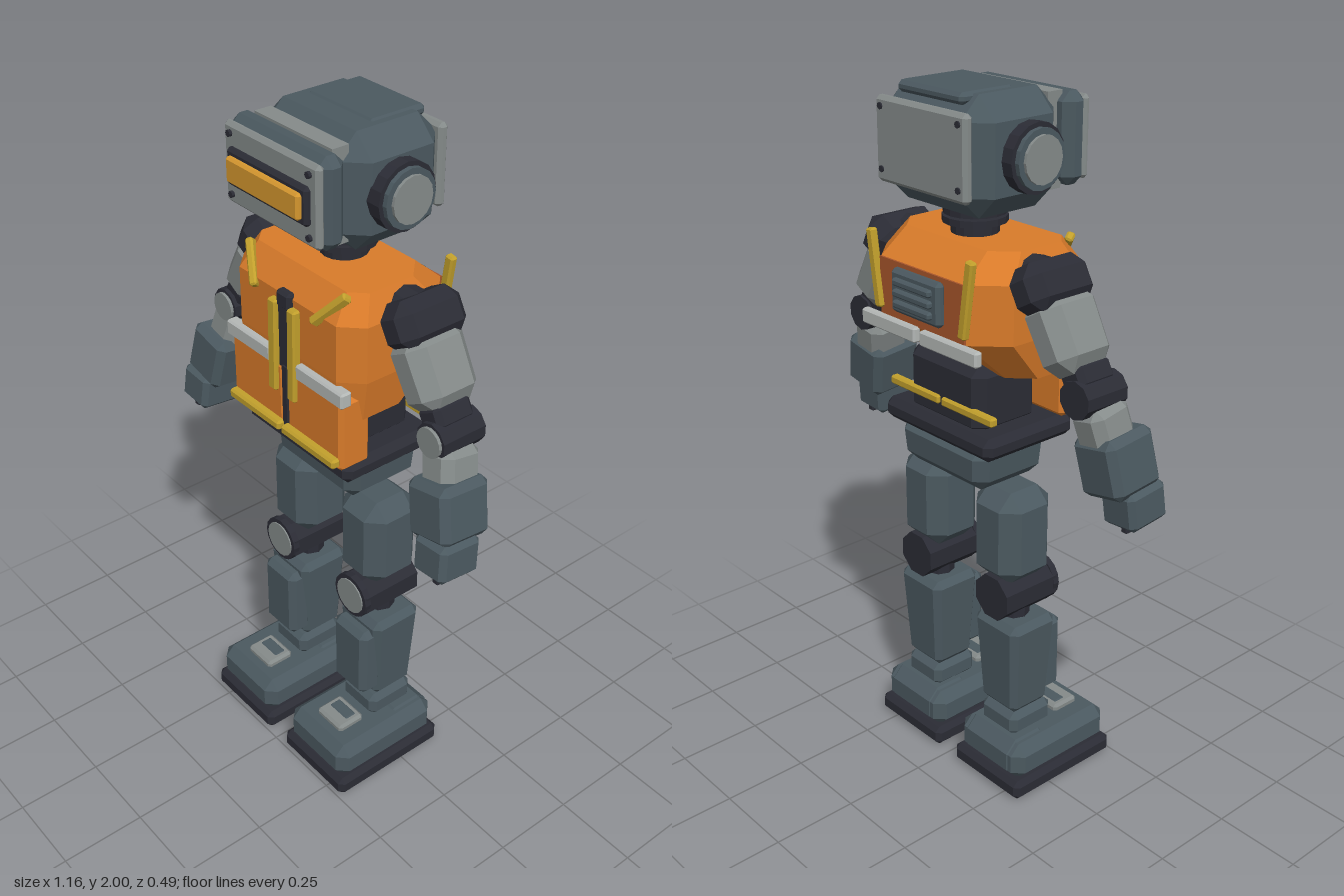
import * as THREE from 'three';
import { ConvexGeometry } from 'three/addons/geometries/ConvexGeometry.js';

const paint = (name, color) => {
  const m = new THREE.MeshStandardMaterial({ color });
  m.name = name;
  m.flatShading = true;
  return m;
};

export function createModel() {
  const slate = paint('slate', 0x4b5960), navy = paint('navy', 0x2b2c35), grey = paint('grey', 0x858b8a),
    orange = paint('orange', 0xd97b2a), rust = paint('rust', 0xa8562b), yellow = paint('yellow', 0xc2a02c),
    amber = paint('amber', 0xd6982f), silver = paint('silver', 0xb4b8b6);
  const model = new THREE.Group();
  model.name = 'robot';

  const add = (name, geo, mat, [x, y, z], [rx, ry, rz] = [0, 0, 0], parent = model) => {
    const mesh = new THREE.Mesh(geo, mat);
    mesh.name = name;
    mesh.position.set(x, y, z);
    mesh.rotation.set(rx, ry, rz);
    parent.add(mesh);
    return mesh;
  };

  // Box with cut edges; taper scales the bottom section
  const cbox = (w, h, d, c = 0.015, taper = 1) => {
    const pts = [];
    for (const i of [-1, 1]) for (const j of [-1, 1]) for (const k of [-1, 1])
      for (let cut = 0; cut < 3; cut++) {
        const e = [0, 1, 2].map(n => (n === cut ? 0 : c));
        const y = j * (h / 2 - e[1]);
        const t = THREE.MathUtils.lerp(taper, 1, y / h + 0.5);
        pts.push(new THREE.Vector3(i * (w / 2 - e[0]) * t, y, k * (d / 2 - e[2]) * t));
      }
    return new ConvexGeometry(pts);
  };
  const cyl = (r, h, n = 16) => new THREE.CylinderGeometry(r, r, h, n);
  const box = (w, h, d) => new THREE.BoxGeometry(w, h, d);

  // Bar running from a to b
  const bar = (name, a, b, w, mat, parent = model) => {
    const A = new THREE.Vector3(...a), B = new THREE.Vector3(...b);
    const mesh = add(name, cbox(w, A.distanceTo(B), w * 0.8, 0.005), mat, [0, 0, 0], [0, 0, 0], parent);
    mesh.position.copy(A).lerp(B, 0.5);
    mesh.quaternion.setFromUnitVectors(new THREE.Vector3(0, 1, 0), B.sub(A).normalize());
  };
  const HALF = Math.PI / 2;

  // Head
  add('head', cbox(0.4, 0.305, 0.31, 0.06), slate, [0, 1.8425, -0.035]);
  add('headTopPlate', cbox(0.25, 0.03, 0.175, 0.01), slate, [0, 1.985, -0.085]);
  add('faceSpacer', box(0.3, 0.25, 0.05), grey, [0, 1.85, 0.115]);
  add('faceFrame', cbox(0.385, 0.24, 0.075, 0.025), slate, [0, 1.853, 0.16]);
  add('facePlate', cbox(0.37, 0.215, 0.025, 0.01), grey, [0, 1.853, 0.198]);
  add('visorFrame', cbox(0.315, 0.1, 0.025, 0.008), navy, [0, 1.853, 0.213]);
  add('visor', cbox(0.285, 0.068, 0.025, 0.006), amber, [0, 1.853, 0.227]);
  add('headBackPlate', cbox(0.35, 0.22, 0.03, 0.01), grey, [0, 1.85, -0.19]);
  for (const sx of [-1, 1]) {
    for (const y of [1.775, 1.935]) {
      add('faceBolt', cyl(0.009, 0.012, 8), navy, [sx * 0.155, y, 0.213], [HALF, 0, 0]);
      add('backBolt', cyl(0.009, 0.01, 8), navy, [sx * 0.15, y, -0.204], [HALF, 0, 0]);
    }
    add('earBase', cyl(0.09, 0.045), navy, [sx * 0.212, 1.84, -0.02], [0, 0, HALF]);
    add('earRim', cyl(0.078, 0.02), slate, [sx * 0.238, 1.84, -0.02], [0, 0, HALF]);
    add('earDisc', cyl(0.062, 0.015), grey, [sx * 0.249, 1.84, -0.02], [0, 0, HALF]);
  }

  // Neck rings
  add('neckCore', cyl(0.065, 0.12), navy, [0, 1.64, -0.02]);
  add('neckUpperRing', cyl(0.085, 0.035), navy, [0, 1.68, -0.02]);
  add('neckLowerRing', cyl(0.088, 0.018), navy, [0, 1.648, -0.02]);

  // Chest hull from cross-sections: y, half width, front z, back z, front cut, back cut
  const sections = [
    [1.61, 0.22, 0.12, -0.12, 0.04, 0.06],
    [1.54, 0.255, 0.17, -0.2, 0.055, 0.085],
    [1.38, 0.255, 0.17, -0.2, 0.055, 0.085],
    [1.26, 0.235, 0.165, -0.07, 0.055, 0.06],
  ];
  const hull = [];
  for (const [y, w, f, b, cf, cb] of sections) for (const s of [-1, 1])
    for (const [x, z] of [[w - cf, f], [w, f - cf], [w, b + cb], [w - cb, b]])
      hull.push(new THREE.Vector3(s * x, y, z));
  add('chest', new ConvexGeometry(hull), orange, [0, 0, 0]);

  // Vest front, trims and back straps
  add('zipper', box(0.05, 0.3, 0.02), navy, [0, 1.4, 0.168]);
  add('zipperTop', cbox(0.055, 0.05, 0.03, 0.008), navy, [0, 1.53, 0.17]);
  add('zipperLower', box(0.018, 0.21, 0.09), navy, [0, 1.23, 0.138]);
  for (const s of [-1, 1]) {
    add('vestLowerPanel', cbox(0.228, 0.215, 0.1, 0.012), orange, [s * 0.12, 1.228, 0.132]);
    add('frontStripe', cbox(0.19, 0.045, 0.035, 0.005), silver, [s * 0.15, 1.347, 0.172]);
    add('frontHem', cbox(0.222, 0.028, 0.028, 0.006), yellow, [s * 0.116, 1.15, 0.19]);
    bar('frontStrip', [s * 0.04, 1.52, 0.178], [s * 0.04, 1.25, 0.182], 0.032, yellow);
    bar('shoulderStrip', [s * 0.2, 1.61, 0.132], [s * 0.12, 1.52, 0.18], 0.028, yellow);
    bar('backStrip', [s * 0.2, 1.61, -0.208], [s * 0.168, 1.4, -0.208], 0.028, yellow);
    add('backStripe', cbox(0.225, 0.042, 0.025, 0.005), silver, [s * 0.122, 1.362, -0.212]);
    add('backHem', cbox(0.205, 0.025, 0.025, 0.005), yellow, [s * 0.108, 1.162, -0.138]);
  }
  add('backPanel', box(0.34, 0.16, 0.008), rust, [0, 1.46, -0.202]);

  // Back vent
  add('vent', cbox(0.195, 0.12, 0.03, 0.01), slate, [0, 1.47, -0.216]);
  for (let i = 0; i < 3; i++)
    add('ventSlat', cbox(0.15, 0.02, 0.022, 0.005), slate, [0, 1.44 + i * 0.03, -0.234]);

  // Waist, belt and pelvis
  add('waist', cbox(0.3, 0.2, 0.22, 0.03), navy, [0, 1.19, -0.03]);
  add('belt', cbox(0.44, 0.065, 0.32, 0.02), navy, [0, 1.083, -0.01]);
  add('pelvis', cbox(0.36, 0.135, 0.26, 0.035, 0.93), slate, [0, 1.003, -0.03]);

  for (const s of [1, -1]) {
    // Arm
    const arm = new THREE.Group();
    arm.name = s > 0 ? 'leftArm' : 'rightArm';
    model.add(arm);
    const tilt = [0, 0, s * 0.52], lower = [-0.18, 0, s * 0.23];
    add('shoulderJoint', cyl(0.07, 0.07, 12), navy, [s * 0.245, 1.53, -0.025], [0, 0, HALF], arm);
    add('shoulder', cbox(0.125, 0.13, 0.215, 0.035), navy, [s * 0.298, 1.535, -0.028], tilt, arm);
    add('upperArm', cbox(0.14, 0.21, 0.19, 0.04, 0.95), grey, [s * 0.352, 1.425, -0.02], tilt, arm);
    add('elbowLink', cbox(0.085, 0.07, 0.12, 0.015), navy, [s * 0.413, 1.325, -0.01], tilt, arm);
    add('elbow', cyl(0.052, 0.14, 10), navy, [s * 0.437, 1.28, -0.008], [HALF, 0, 0], arm);
    add('elbowDisc', cyl(0.042, 0.012), grey, [s * 0.437, 1.28, 0.065], [HALF, 0, 0], arm);
    add('forearm', cbox(0.115, 0.13, 0.13, 0.025), grey, [s * 0.458, 1.195, 0.01], lower, arm);
    add('gauntlet', cbox(0.15, 0.165, 0.165, 0.02), slate, [s * 0.485, 1.1, 0.035], [-0.1, 0, s * 0.2], arm);
    add('hand', cbox(0.118, 0.11, 0.135, 0.015), slate, [s * 0.52, 0.985, 0.068], [-0.1, 0, s * 0.07], arm);
    for (let i = -1; i <= 1; i++)
      add('finger', cbox(0.022, 0.03, 0.03, 0.004), navy, [s * 0.535, 0.929, 0.068 + i * 0.036], [0, 0, 0], arm);

    // Leg
    const leg = new THREE.Group();
    leg.name = s > 0 ? 'leftLeg' : 'rightLeg';
    leg.position.x = s * 0.16;
    model.add(leg);
    const part = (name, geo, mat, x, y, z, rot) => add(name, geo, mat, [s * x, y, z], rot, leg);
    part('thigh', cbox(0.18, 0.28, 0.185, 0.045), slate, -0.006, 0.79, -0.02);
    part('kneeBlock', cyl(0.07, 0.19, 8).rotateY(Math.PI / 8), navy, 0.005, 0.607, -0.012, [HALF, 0, 0]);
    part('kneeRim', cyl(0.068, 0.02), navy, 0.005, 0.61, 0.08, [HALF, 0, 0]);
    part('kneeDisc', cyl(0.055, 0.012), grey, 0.005, 0.61, 0.088, [HALF, 0, 0]);
    part('shinPin', cyl(0.045, 0.1, 8), navy, 0.005, 0.53, -0.02);
    part('shin', cbox(0.178, 0.295, 0.17, 0.02, 0.8), slate, 0.008, 0.383, -0.018);
    part('shinGuard', cbox(0.14, 0.235, 0.075, 0.018), slate, 0.008, 0.383, 0.065);
    part('ankleUpper', cbox(0.1, 0.06, 0.1, 0.01), navy, 0.01, 0.24, -0.015);
    part('ankle', cbox(0.145, 0.075, 0.155, 0.018), slate, 0.01, 0.197, -0.012);
    part('heel', cbox(0.24, 0.125, 0.16, 0.035), slate, 0.015, 0.108, -0.052);
    part('foot', cbox(0.262, 0.115, 0.365, 0.03), slate, 0.015, 0.107, 0.053);
    part('toePlate', cbox(0.11, 0.03, 0.09, 0.008), grey, 0.015, 0.168, 0.135);
    part('toeInset', cbox(0.08, 0.02, 0.04, 0.005), slate, 0.015, 0.176, 0.125);
    part('sole', cbox(0.28, 0.06, 0.385, 0.015), navy, 0.015, 0.03, 0.052);
  }
  return model;
}
